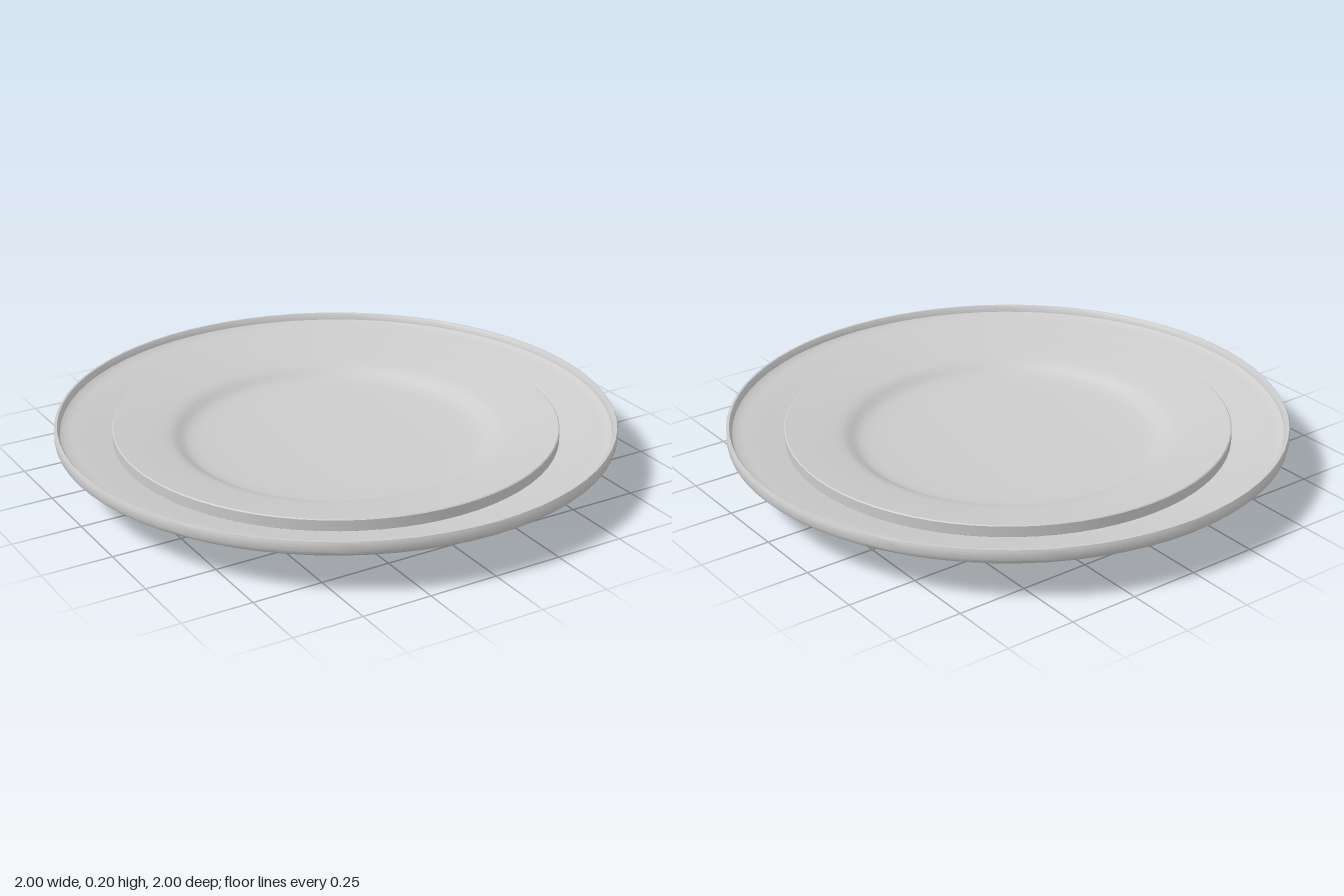
import * as THREE from 'three';
import { toCreasedNormals } from 'three/addons/utils/BufferGeometryUtils.js';

const SEGMENTS = 72;

// Turns a closed profile (bottom centre, out over the rim, back to top centre)
function turned(name, profile, material) {
  const points = profile.map(([r, y]) => new THREE.Vector2(r, y));
  const geometry = toCreasedNormals(new THREE.LatheGeometry(points, SEGMENTS), 0.6);
  const mesh = new THREE.Mesh(geometry, material);
  mesh.name = name;
  return mesh;
}

// Samples a shallow bowl curve y = y0 + (y1 - y0) * (r / radius)^2 from r0 to r1
function bowl(r0, r1, radius, y0, y1, steps) {
  return Array.from({ length: steps + 1 }, (_, i) => {
    const r = r0 + ((r1 - r0) * i) / steps;
    return [r, y0 + (y1 - y0) * (r / radius) ** 2];
  });
}

export function createModel() {
  const group = new THREE.Group();
  group.name = 'stackedPlates';
  const material = new THREE.MeshStandardMaterial({ color: 0xcccccc });

  // Wide lower plate: rounded underside, upright rim, shallow top
  group.add(turned('lowerPlate', [
    ...bowl(0, 0.99, 1, 0, 0.148, 16),
    [0.998, 0.153], [1, 0.16],
    [1, 0.191], [0.997, 0.196], [0.989, 0.196],
    [0.985, 0.191], [0.98, 0.172], [0.965, 0.163],
    ...bowl(0.94, 0, 1, 0.05, 0.175, 12),
  ], material));

  // Smaller upper plate: thin edge, sloping flange, sunken well
  group.add(turned('upperPlate', [
    ...bowl(0, 0.79, 0.8, 0.045, 0.126, 10),
    [0.797, 0.13], [0.797, 0.168], [0.793, 0.171],
    [0.74, 0.162], [0.68, 0.151], [0.62, 0.14],
    [0.595, 0.134], [0.58, 0.128], [0.565, 0.119],
    [0.55, 0.109], [0.535, 0.102], [0.515, 0.097],
    ...bowl(0.48, 0, 0.5, 0.078, 0.094, 8),
  ], material));

  return group;
}
